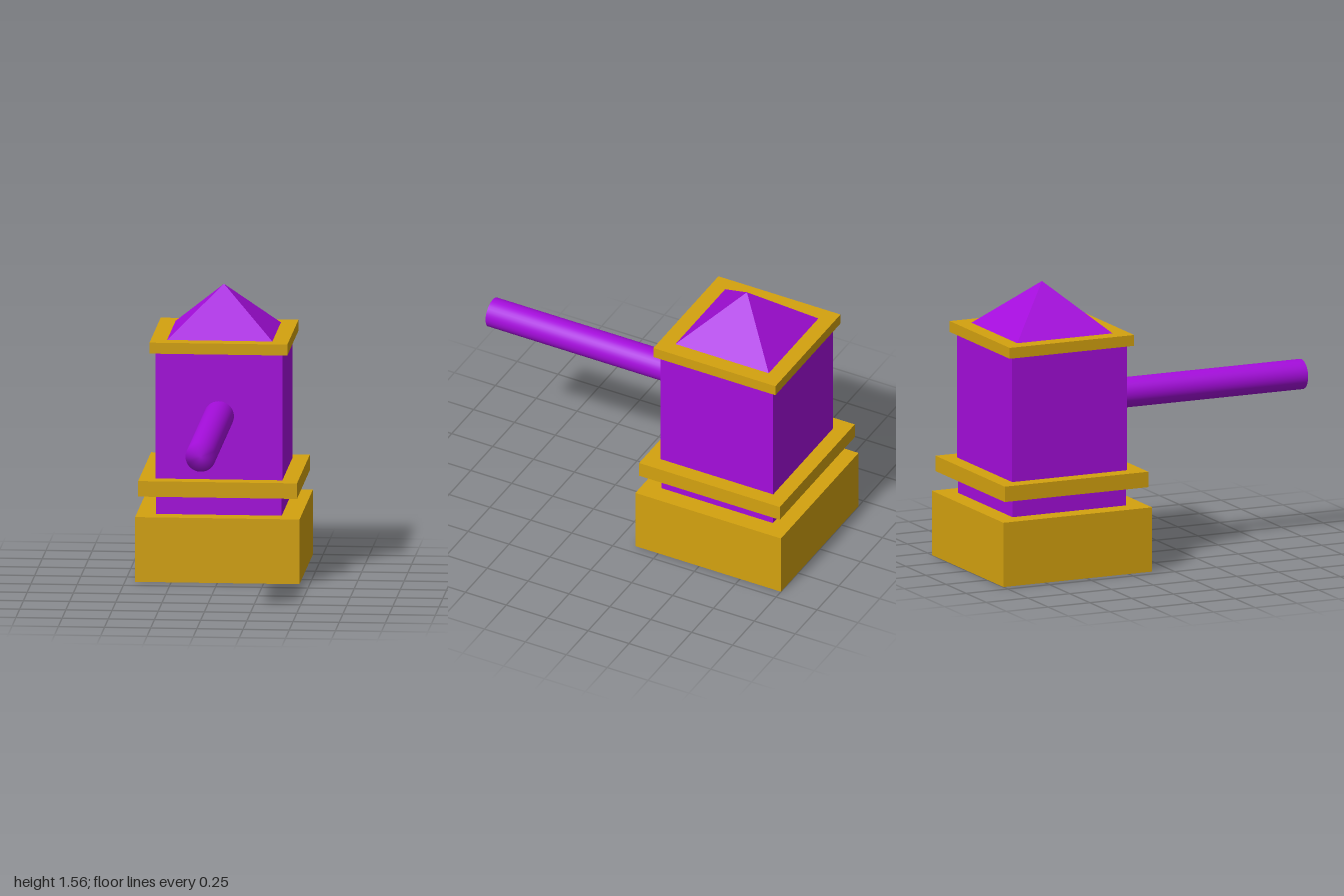
import * as THREE from 'three';
import { mergeVertices } from 'three/addons/utils/BufferGeometryUtils.js';

const CENTRE_Z = -0.555;

export function createModel() {
  const model = new THREE.Group();
  const gold = new THREE.MeshStandardMaterial({ color: 0xd4a20f });
  const purple = new THREE.MeshStandardMaterial({ color: 0xa50ddc });
  const purpleFlat = new THREE.MeshStandardMaterial({ color: 0xa50ddc, flatShading: true });

  function add(name, geometry, material, y, z = CENTRE_Z) {
    const mesh = new THREE.Mesh(geometry, material);
    mesh.name = name;
    mesh.position.set(0, y, z);
    model.add(mesh);
  }

  // Stacked square blocks: name, half width, bottom, top, material
  const blocks = [
    ['base', 0.445, 0, 0.355, gold],
    ['neck', 0.34, 0.355, 0.465, purple],
    ['lowerBand', 0.43, 0.465, 0.55, gold],
    ['body', 0.344, 0.55, 1.24, purple],
    ['upperBand', 0.373, 1.24, 1.3, gold],
  ];
  for (const [name, half, bottom, top, material] of blocks) {
    add(name, new THREE.BoxGeometry(half * 2, top - bottom, half * 2), material, (bottom + top) / 2);
  }

  // Four-sided pyramid on top
  const roof = new THREE.ConeGeometry(0.285 * Math.SQRT2, 0.26, 4);
  roof.rotateY(Math.PI / 4);
  add('roof', roof, purpleFlat, 1.43);

  // Round handle out of the front; shared rim vertices give its end soft shading
  const back = -0.25;
  let handle = new THREE.CylinderGeometry(0.082, 0.082, 1 - back, 32);
  handle.deleteAttribute('normal');
  handle.deleteAttribute('uv');
  handle = mergeVertices(handle);
  handle.computeVertexNormals();
  handle.rotateX(Math.PI / 2);
  add('handle', handle, purple, 0.897, (1 + back) / 2);

  return model;
}
